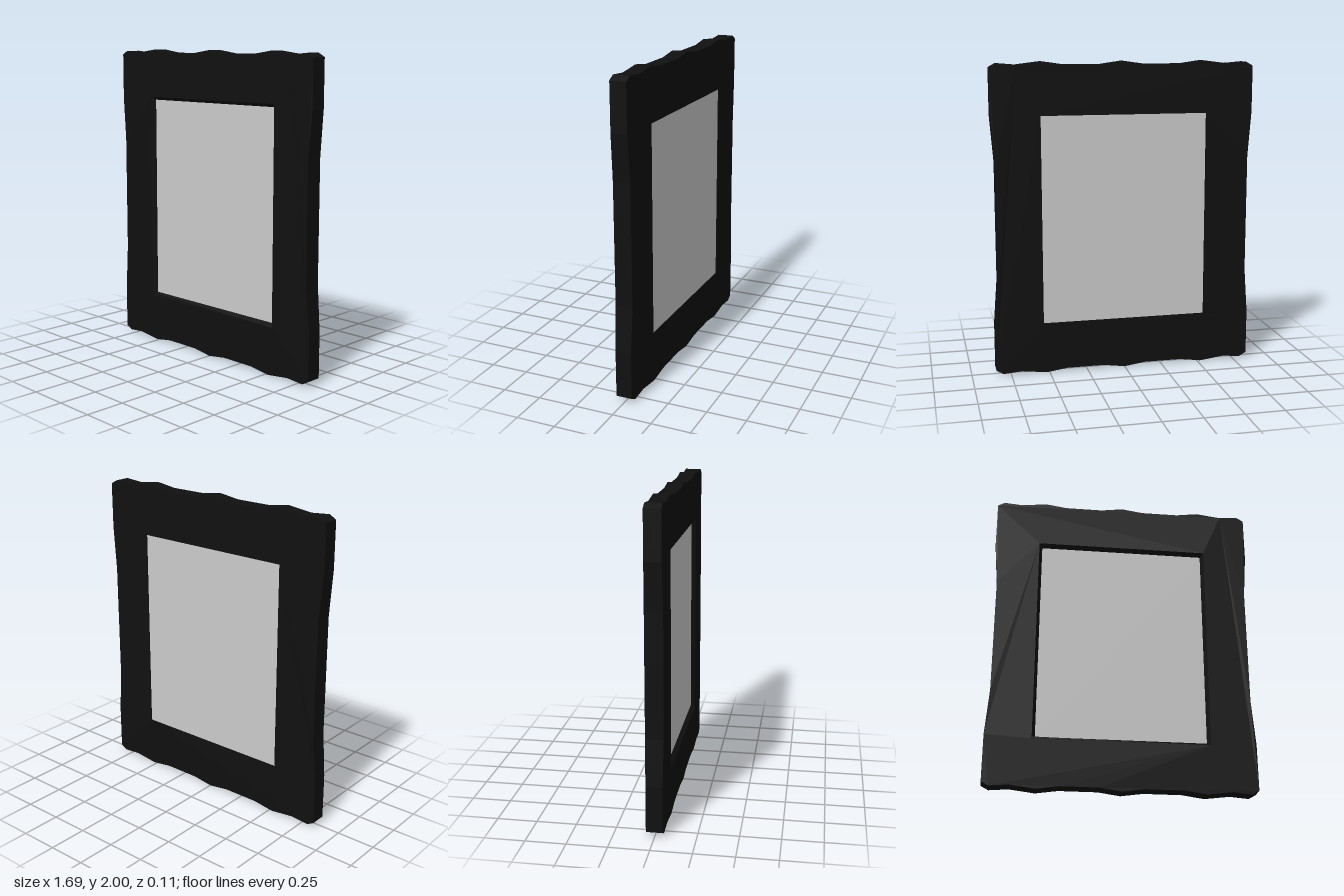
import * as THREE from 'three';

const HALF_DEPTH = 0.055;
const OPEN_X = 0.535, OPEN_Y = 0.667; // half size of the opening
const LIP = 0.02;                     // flare of the front lip

// Wavy outline of one quarter, from top centre to the side (relative to centre)
const QUARTER = [
  [0, 1], [0.14, 0.98], [0.38, 0.98], [0.52, 1], [0.68, 0.98],
  [0.8, 0.99], [0.845, 0.965], [0.845, 0.67], [0.822, 0.38],
];

function outline() {
  const mirror = (pts, sx, sy) => pts.map(([x, y]) => new THREE.Vector2(x * sx, y * sy));
  const back = [...QUARTER].reverse();
  return [
    ...mirror(QUARTER, 1, 1),
    ...mirror(back, 1, -1),
    ...mirror(QUARTER.slice(1), -1, -1),
    ...mirror(back.slice(0, -1), -1, 1),
  ];
}

function frameGeometry() {
  const shape = new THREE.Shape(outline());
  shape.holes.push(new THREE.Path([
    new THREE.Vector2(-OPEN_X, -OPEN_Y), new THREE.Vector2(OPEN_X, -OPEN_Y),
    new THREE.Vector2(OPEN_X, OPEN_Y), new THREE.Vector2(-OPEN_X, OPEN_Y),
  ]));
  const geo = new THREE.ExtrudeGeometry(shape, { depth: HALF_DEPTH * 2, steps: 4, bevelEnabled: false });
  geo.translate(0, 0, -HALF_DEPTH);

  const p = geo.attributes.position;
  for (let i = 0; i < p.count; i++) {
    const x = p.getX(i), y = p.getY(i), z = p.getZ(i);
    const inner = Math.abs(x) < OPEN_X + 0.001 && Math.abs(y) < OPEN_Y + 0.001;
    if (inner && z > HALF_DEPTH - 0.001) {
      // flare the front edge of the opening into a sloped lip
      p.setXY(i, x + Math.sign(x) * LIP, y + Math.sign(y) * LIP);
    } else if (!inner && (Math.abs(x) > 0.83 || Math.abs(y) > 0.95)) {
      // outer corners and ends are slightly thinner
      p.setZ(i, z * 0.93);
    }
  }
  geo.computeVertexNormals();
  return geo;
}

export function createModel() {
  const model = new THREE.Group();
  model.name = 'pictureFrame';

  // Dark carved frame
  const frame = new THREE.Mesh(
    frameGeometry(),
    new THREE.MeshStandardMaterial({ color: 0x101010, flatShading: true }),
  );
  frame.name = 'frame';
  frame.position.y = 1;
  model.add(frame);

  // Plain panel, recessed at the front and nearly flush at the back
  const panelFront = 0.026, panelBack = -0.05;
  const panel = new THREE.Mesh(
    new THREE.BoxGeometry(OPEN_X * 2, OPEN_Y * 2, panelFront - panelBack),
    new THREE.MeshStandardMaterial({ color: 0xcccccc }),
  );
  panel.name = 'panel';
  panel.position.set(0, 1, (panelFront + panelBack) / 2);
  model.add(panel);

  return model;
}
